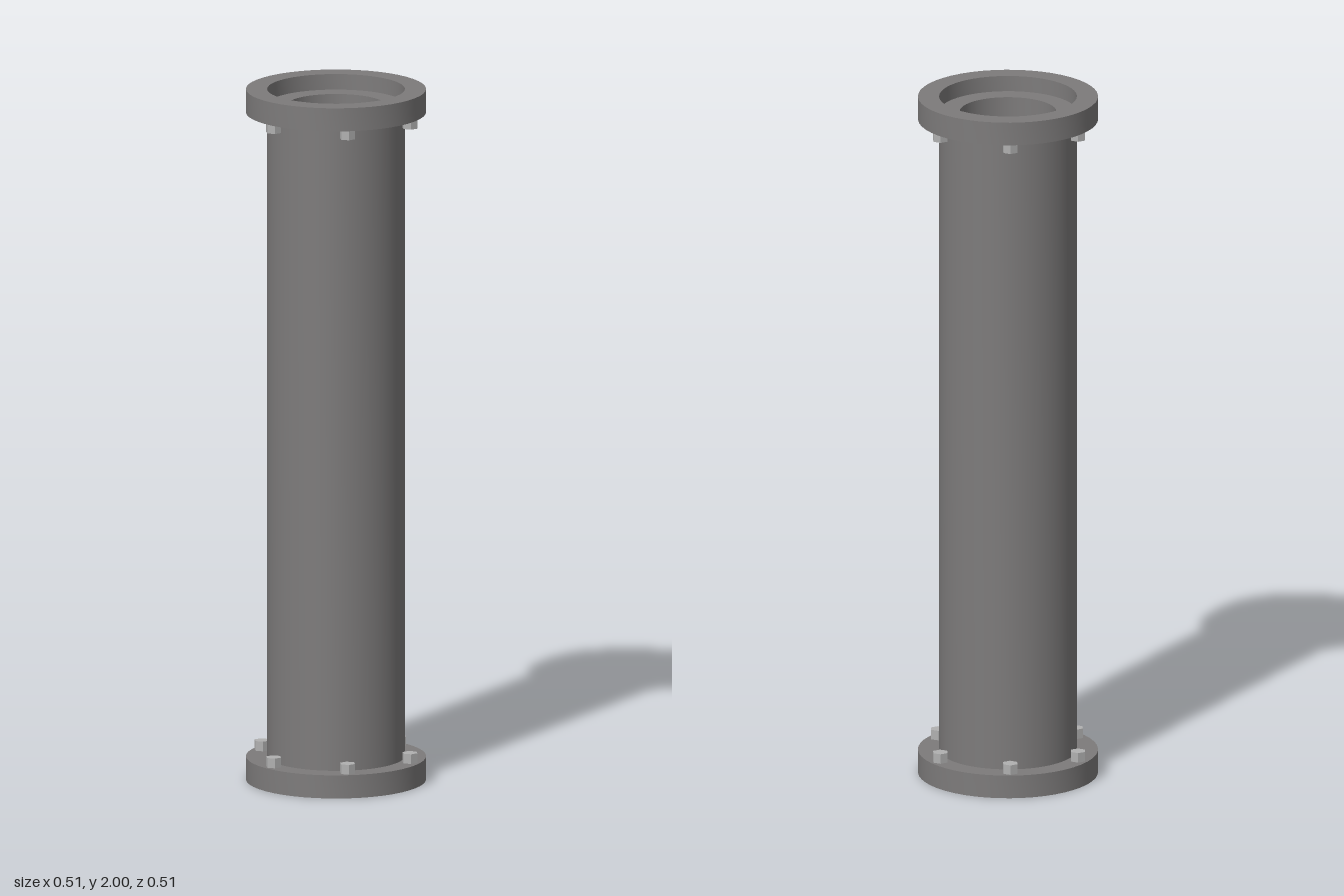
import * as THREE from 'three';
import { toCreasedNormals } from 'three/addons/utils/BufferGeometryUtils.js';

const steel = new THREE.MeshStandardMaterial({ color: 0x7d7b7b });
steel.name = 'dark steel';
const zinc = new THREE.MeshStandardMaterial({ color: 0xb0b0b0 });
zinc.name = 'light bolt metal';

const HEIGHT = 2;
const PIPE_R = 0.195, BORE_R = 0.137, FLANGE_R = 0.255;
const FLANGE_H = 0.067, RECESS = 0.045;
const BOLT_RING = 0.225, BOLT_R = 0.023, BOLT_H = 0.028;

// Hollow ring with a rectangular section and crisp rims
function ring(name, outer, inner, y0, y1, segments) {
  const profile = [
    [outer, y0], [outer, y1], [inner, y1], [inner, y0], [outer, y0],
  ].map(([r, y]) => new THREE.Vector2(r, y));
  const geometry = toCreasedNormals(new THREE.LatheGeometry(profile, segments), 0.6);
  const mesh = new THREE.Mesh(geometry, steel);
  mesh.name = name;
  return mesh;
}

// Flange collar with six hex bolt heads on its inner face
function flangeEnd(name) {
  const end = new THREE.Group();
  end.name = name;
  end.add(ring('flange', FLANGE_R, PIPE_R, 0, FLANGE_H, 48));
  const hex = toCreasedNormals(new THREE.CylinderGeometry(BOLT_R, BOLT_R, BOLT_H, 6), 0.3);
  for (let i = 0; i < 6; i++) {
    const a = (i * Math.PI) / 3;
    const bolt = new THREE.Mesh(hex, zinc);
    bolt.name = 'bolt';
    bolt.position.set(BOLT_RING * Math.cos(a), FLANGE_H + BOLT_H / 2, BOLT_RING * Math.sin(a));
    bolt.rotation.y = Math.PI / 6; // corners point along x
    end.add(bolt);
  }
  return end;
}

export function createModel() {
  const model = new THREE.Group();
  model.name = 'flangedPipe';

  // Pipe stops short of the flange faces, leaving a recess at each end
  model.add(ring('pipe', PIPE_R, BORE_R, RECESS, HEIGHT - RECESS, 64));

  // Plug deep inside the bore
  const plug = new THREE.Mesh(new THREE.CylinderGeometry(BORE_R, BORE_R, 0.04, 64), steel);
  plug.name = 'borePlug';
  plug.position.y = HEIGHT / 2;
  model.add(plug);

  const bottom = flangeEnd('bottomFlange');
  const top = flangeEnd('topFlange');
  top.rotation.x = Math.PI;
  top.position.y = HEIGHT;
  model.add(bottom, top);

  return model;
}
